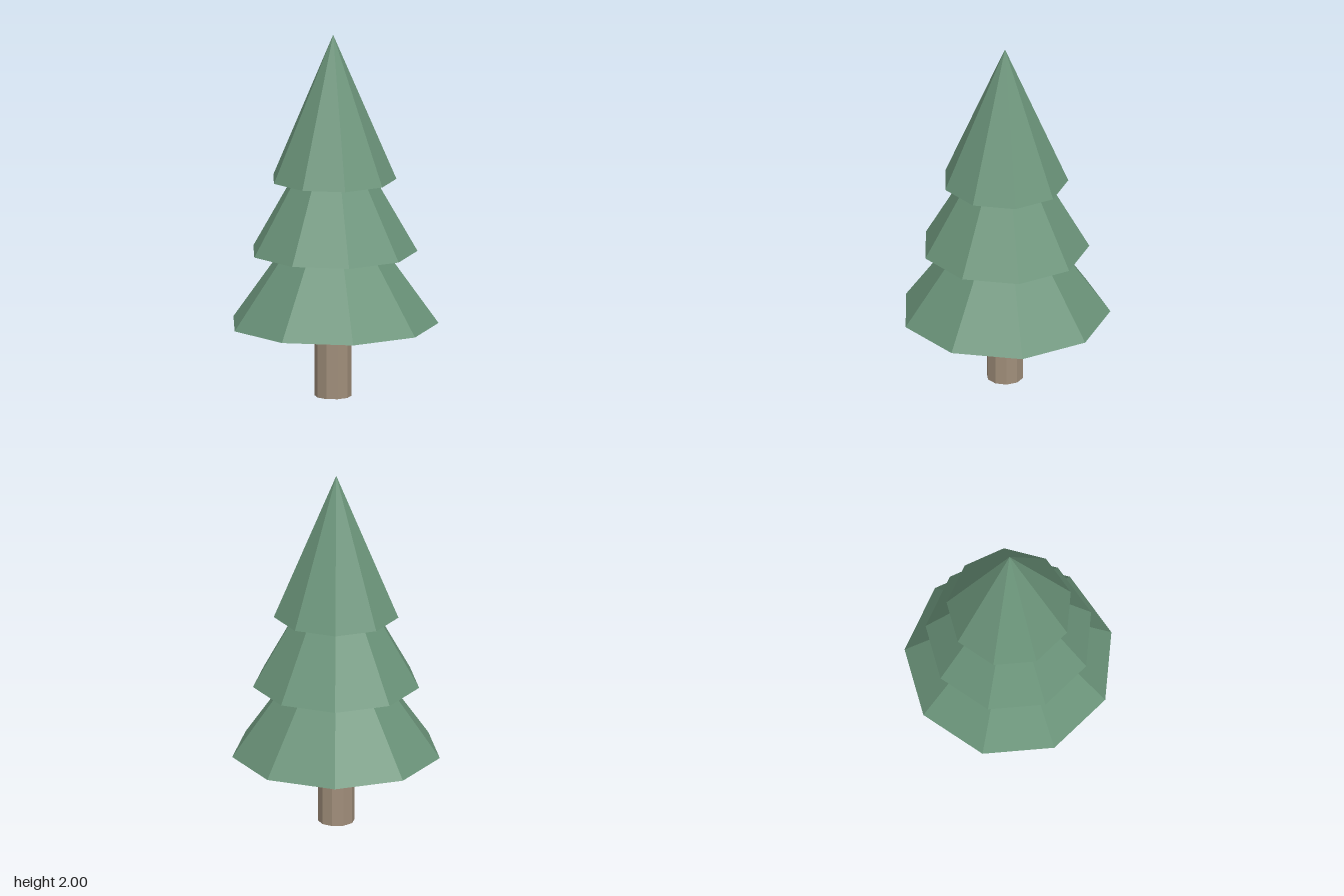
import * as THREE from 'three';

// Low-poly solid with faceted normals and one corner pointing along +x
function faceted(topRadius, bottomRadius, height, sides) {
  const geometry = new THREE.CylinderGeometry(
    topRadius, bottomRadius, height, sides, 1, false, Math.PI / 2
  ).toNonIndexed();
  geometry.computeVertexNormals();
  return geometry;
}

export function createModel() {
  const tree = new THREE.Group();
  tree.name = 'pineTree';

  const foliage = new THREE.MeshStandardMaterial({ color: 0x6b947a });
  foliage.name = 'foliage green';
  const bark = new THREE.MeshStandardMaterial({ color: 0xa08e7a });
  bark.name = 'bark brown';

  const axisX = -0.017; // the odd-sided tiers put the axis slightly left of the middle

  function add(name, geometry, material, y) {
    const mesh = new THREE.Mesh(geometry, material);
    mesh.name = name;
    mesh.position.set(axisX, y, 0);
    tree.add(mesh);
  }

  // Ten-sided trunk
  add('trunk', faceted(0.1, 0.1, 0.4, 10), bark, 0.2);

  // Three overlapping nine-sided cones, each narrower than the one below
  const tierHeight = 0.8;
  const tiers = [
    ['lowerBranches', 0.571, 0.4],
    ['middleBranches', 0.457, 0.8],
    ['upperBranches', 0.343, 1.2],
  ];
  for (const [name, radius, baseY] of tiers) {
    add(name, new THREE.ConeGeometry(radius, tierHeight, 9, 1, false, Math.PI / 2).toNonIndexed(),
      foliage, baseY + tierHeight / 2);
    tree.children.at(-1).geometry.computeVertexNormals();
  }

  return tree;
}
